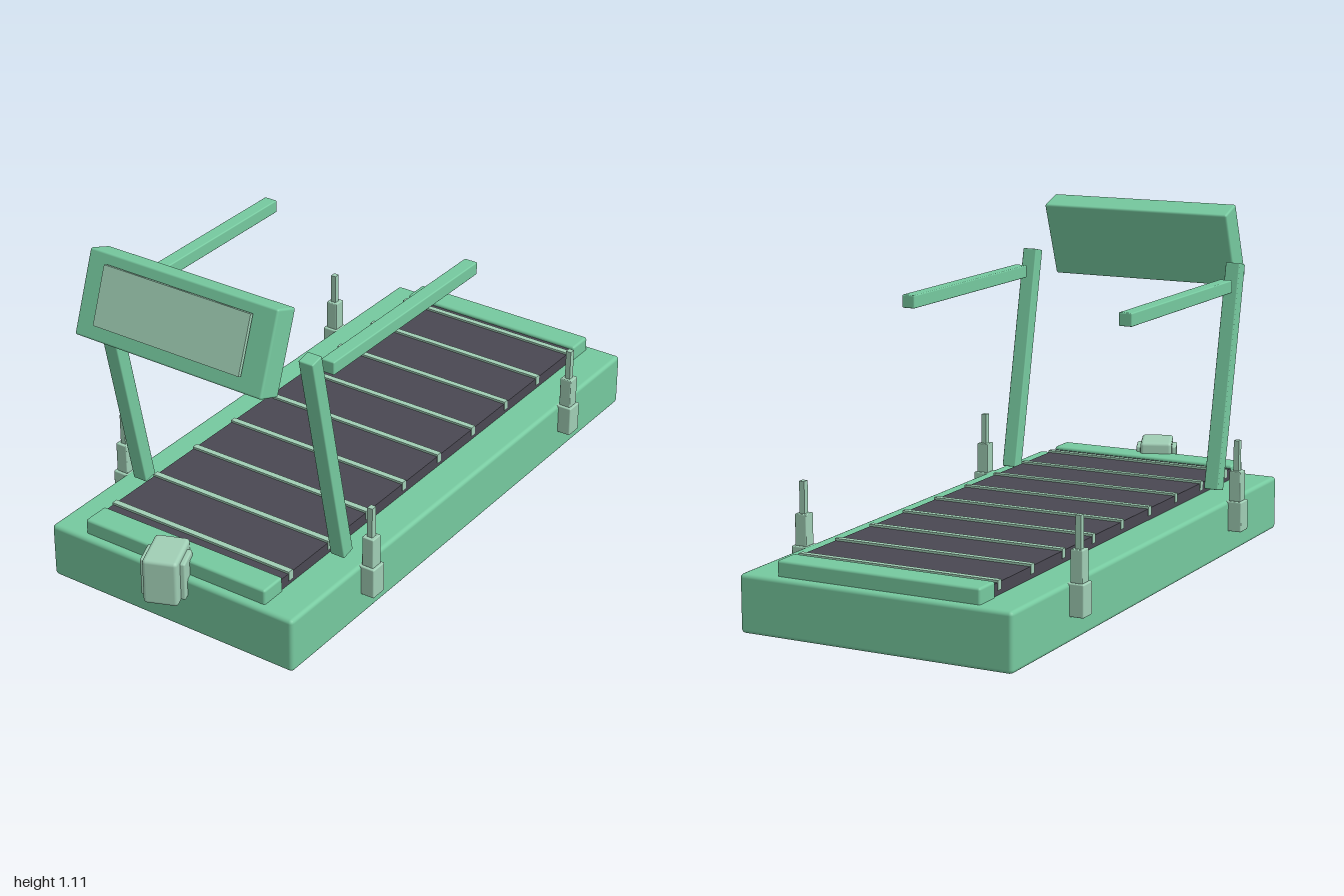
import * as THREE from 'three';
import { RoundedBoxGeometry } from 'three/addons/geometries/RoundedBoxGeometry.js';

export function createModel() {
  const model = new THREE.Group();
  model.name = 'treadmill';

  const material = (name, color) => {
    const m = new THREE.MeshStandardMaterial({ color });
    m.name = name;
    return m;
  };
  const green = material('frame green', 0x76c99f);
  const pale = material('pale green', 0xa0ceb5);
  const dark = material('belt grey', 0x4a4852);

  // Box by size and centre, with an optional softened edge
  const box = (name, mat, [w, h, d], [x, y, z], bevel = 0, parent = model) => {
    const geo = bevel
      ? new RoundedBoxGeometry(w, h, d, 2, bevel)
      : new THREE.BoxGeometry(w, h, d);
    const mesh = new THREE.Mesh(geo, mat);
    mesh.name = name;
    mesh.position.set(x, y, z);
    parent.add(mesh);
    return mesh;
  };

  // Deck with the running belt and its slats
  box('base', green, [0.9, 0.18, 1.907], [0, 0.09, -0.0465], 0.013);
  box('belt', dark, [0.66, 0.058, 1.69], [0, 0.188, -0.045]);
  for (let i = 0; i < 9; i++) {
    box('beltSlat', pale, [0.664, 0.03, 0.02], [0, 0.209, -0.853 + i * 0.2]);
  }
  box('frontCap', green, [0.67, 0.07, 0.09], [0, 0.193, 0.836], 0.008);
  box('rearCap', green, [0.67, 0.07, 0.09], [0, 0.193, -0.929], 0.008);

  // Uprights, handrails and stepped side feet, mirrored
  for (const s of [1, -1]) {
    const post = box('upright', green, [0.05, 0.746, 0.048], [s * 0.375, 0.565, 0.625], 0.004);
    post.rotation.x = THREE.MathUtils.degToRad(12);
    box('handrail', green, [0.045, 0.042, 0.76], [s * 0.377, 0.865, 0.241], 0.004);
    for (const z of [0.526, -0.621]) {
      const foot = new THREE.Group();
      foot.name = 'sideFoot';
      foot.position.set(s * 0.467, 0, z);
      model.add(foot);
      box('footBlock', pale, [0.056, 0.1, 0.058], [0, 0.129, 0], 0.004, foot);
      box('footSleeve', pale, [0.04, 0.1, 0.042], [0, 0.228, 0], 0.003, foot);
      box('footPin', pale, [0.018, 0.105, 0.02], [0, 0.326, 0], 0, foot);
    }
  }

  // Tilted console with its screen
  const console_ = new THREE.Group();
  console_.name = 'console';
  console_.position.set(0, 0.975, 0.797);
  console_.rotation.x = THREE.MathUtils.degToRad(-20);
  model.add(console_);
  box('consoleBody', green, [0.67, 0.262, 0.087], [0, 0, 0], 0.007, console_);
  box('screen', pale, [0.522, 0.182, 0.012], [0, 0.008, 0.058], 0, console_);

  // Turned motor housing with a pad on each side
  const motor = new THREE.Group();
  motor.name = 'motor';
  motor.position.set(0, 0.19, 0.913);
  motor.rotation.y = THREE.MathUtils.degToRad(22);
  model.add(motor);
  box('motorHousing', pale, [0.108, 0.152, 0.15], [0, 0, 0], 0.012, motor);
  for (const s of [1, -1]) {
    box('motorPad', pale, [0.03, 0.126, 0.085], [s * 0.054, -0.006, 0], 0.006, motor);
  }

  return model;
}
